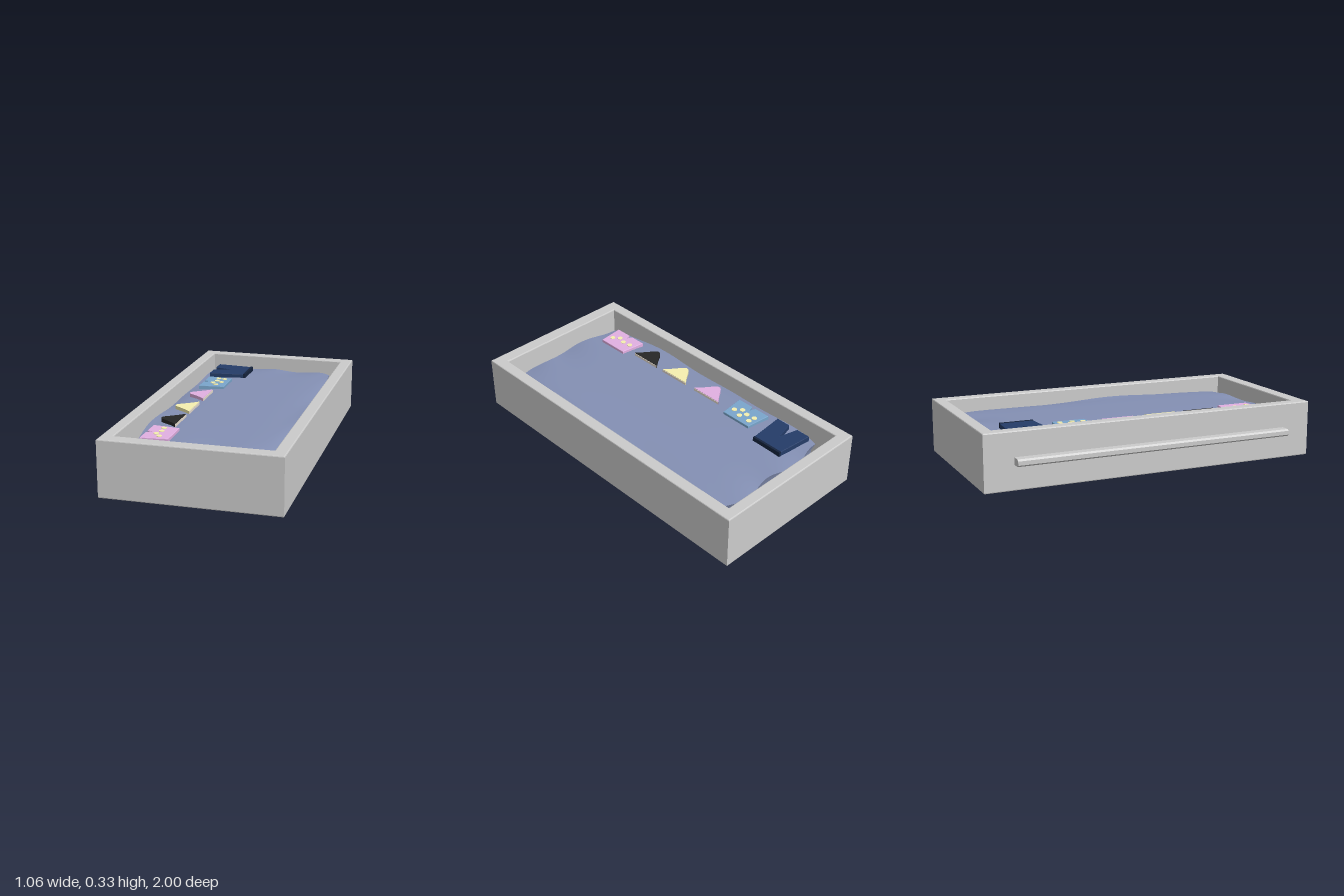
import * as THREE from 'three';
import { toCreasedNormals } from 'three/addons/utils/BufferGeometryUtils.js';

const material = (color) => new THREE.MeshStandardMaterial({ color });
const GREY = material(0xcccccc);

function addMesh(parent, name, geometry, mat) {
  const mesh = new THREE.Mesh(geometry, mat);
  mesh.name = name;
  parent.add(mesh);
  return mesh;
}

// Outline given as [x, z] pairs, drawn on the ground plane
const outline = (points) => new THREE.Shape(points.map(([x, z]) => new THREE.Vector2(x, -z)));
const rectangle = (x0, x1, z0, z1) => [[x0, z1], [x1, z1], [x1, z0], [x0, z0]];

// Raises a ground outline from y0 to y1, optionally with a small bevel
function slab(shape, y0, y1, bevel = 0) {
  const geometry = new THREE.ExtrudeGeometry(shape, {
    depth: y1 - y0 - 2 * bevel, curveSegments: 8, bevelEnabled: bevel > 0,
    bevelSize: bevel, bevelThickness: bevel, bevelOffset: -bevel, bevelSegments: 2,
  });
  geometry.rotateX(-Math.PI / 2);
  geometry.translate(0, y0 + bevel, 0);
  return geometry;
}

// Padded fabric filling: a box bulged, rounded at the corners and rippled at the rim
function beddingGeometry() {
  const geometry = new THREE.BoxGeometry(2, 1, 2, 24, 4, 48);
  const p = geometry.attributes.position;
  for (let i = 0; i < p.count; i++) {
    const u = p.getX(i), h = p.getY(i) + 0.5, v = p.getZ(i);
    const rim = Math.max(Math.abs(u), Math.abs(v)) ** 10;
    const sideBulge = 1 - 0.07 * v ** 4;
    const endRipple = 0.018 * Math.sin(u * 6 + (v > 0 ? 2.4 : 0.6)) * Math.abs(v) ** 8;
    const sideRipple = 0.006 * Math.sin(v * 9) * Math.abs(u) ** 8;
    const tuck = 1 - 0.03 * Math.sin(Math.PI * h) * rim;
    const x = 0.032 + u * 0.402 * sideBulge * tuck + sideRipple;
    const z = -0.015 + v * 0.865 * (1 - 0.025 * u ** 6) * tuck + endRipple;
    const top = 0.262 - 0.012 * u ** 4 - 0.01 * v ** 8
      + rim * 0.008 * Math.sin(u * 7 + v * 5);
    p.setXYZ(i, x, 0.06 + (top - 0.06) * h, z);
  }
  return toCreasedNormals(geometry, 0.7);
}

// Shorts lie with the waist towards +x and the legs towards -x
function addShorts(parent, name, { x0, x1, z, legs, waist, notch, gap, y0, y1, color, dots = [] }) {
  const group = new THREE.Group();
  group.name = name;
  parent.add(group);
  const shape = outline([
    [x0, z + legs], [x1, z + waist], [x1, z - waist], [x0, z - legs],
    [x0, z - gap], [x0 + notch, z], [x0, z + gap],
  ]);
  addMesh(group, 'shortsFabric', slab(shape, y0, y1, 0.003), material(color));
  const dotMaterial = material(0xf6f0b0);
  for (const [dx, dz] of dots) {
    const dot = addMesh(group, 'dot', new THREE.CylinderGeometry(0.016, 0.016, 0.004, 14), dotMaterial);
    dot.position.set(dx, y1 + 0.001, dz);
  }
  return group;
}

// Briefs: a folded triangle with a rounded tip towards -x and a light waist edge
function addBriefs(parent, name, z, color) {
  const group = new THREE.Group();
  group.name = name;
  parent.add(group);
  const shape = new THREE.Shape();
  shape.moveTo(-0.207, -(z + 0.1));
  shape.quadraticCurveTo(-0.25, -(z + 0.06), -0.305, -(z + 0.025));
  shape.quadraticCurveTo(-0.335, -z, -0.305, -(z - 0.025));
  shape.quadraticCurveTo(-0.25, -(z - 0.06), -0.207, -(z - 0.1));
  // Reverse so the outline runs the same way as the others
  const briefs = new THREE.Shape(shape.getPoints(6).reverse());
  addMesh(group, 'briefsFabric', slab(briefs, 0.25, 0.278), material(color));
  const edge = addMesh(group, 'waistEdge', new THREE.BoxGeometry(0.004, 0.022, 0.196), material(0xe6dcd0));
  edge.position.set(-0.206, 0.264, z);
}

export function createModel() {
  const model = new THREE.Group();
  model.name = 'drawer';

  // Drawer walls and floor
  const frame = outline(rectangle(-0.47, 0.53, -1, 1));
  frame.holes.push(outline(rectangle(-0.403, 0.46, -0.932, 0.92).reverse()));
  addMesh(model, 'drawerWalls', slab(frame, 0, 0.325, 0.006), GREY);
  const floor = outline(rectangle(-0.42, 0.48, -0.95, 0.94));
  addMesh(model, 'drawerFloor', slab(floor, 0.001, 0.06), GREY);

  // Long pull bar on the side, chamfered on its outer edges
  const profile = new THREE.Shape([
    [-0.465, 0.142], [-0.465, 0.183], [-0.52, 0.183], [-0.53, 0.174], [-0.53, 0.151], [-0.52, 0.142],
  ].map(([x, y]) => new THREE.Vector2(x, y)));
  const bar = new THREE.ExtrudeGeometry(profile, { depth: 1.66, bevelEnabled: false });
  bar.translate(0, 0, -0.83);
  addMesh(model, 'handle', bar, GREY);

  // Fabric filling
  addMesh(model, 'fabricLining', beddingGeometry(), material(0x8490b4));

  // Row of folded clothes
  const clothes = new THREE.Group();
  clothes.name = 'clothes';
  model.add(clothes);

  const dark = addShorts(clothes, 'darkShorts', {
    x0: -0.33, x1: -0.1, z: -0.69, legs: 0.117, waist: 0.097, notch: 0.115, gap: 0.03,
    y0: 0.245, y1: 0.285, color: 0x243c68,
  });
  const band = addMesh(dark, 'waistband', new THREE.BoxGeometry(0.014, 0.042, 0.196), material(0x16243e));
  band.position.set(-0.105, 0.266, -0.69);

  const small = { x0: -0.315, x1: -0.16, notch: 0.04, gap: 0.013, legs: 0.114, waist: 0.097, y0: 0.25, y1: 0.278 };
  addShorts(clothes, 'blueDottedShorts', {
    ...small, z: -0.402, color: 0x7aa6cc,
    dots: [[-0.24, -0.474], [-0.2, -0.468], [-0.235, -0.42], [-0.2, -0.394], [-0.25, -0.373], [-0.22, -0.336]],
  });
  addShorts(clothes, 'pinkDottedShorts', {
    ...small, z: 0.662, color: 0xe2b0e2,
    dots: [[-0.24, 0.59], [-0.235, 0.643], [-0.25, 0.69], [-0.22, 0.727]],
  });

  addBriefs(clothes, 'pinkBriefs', -0.12, 0xe2b0e2);
  addBriefs(clothes, 'yellowBriefs', 0.152, 0xf6f0b0);
  addBriefs(clothes, 'blackBriefs', 0.405, 0x262626);

  return model;
}
